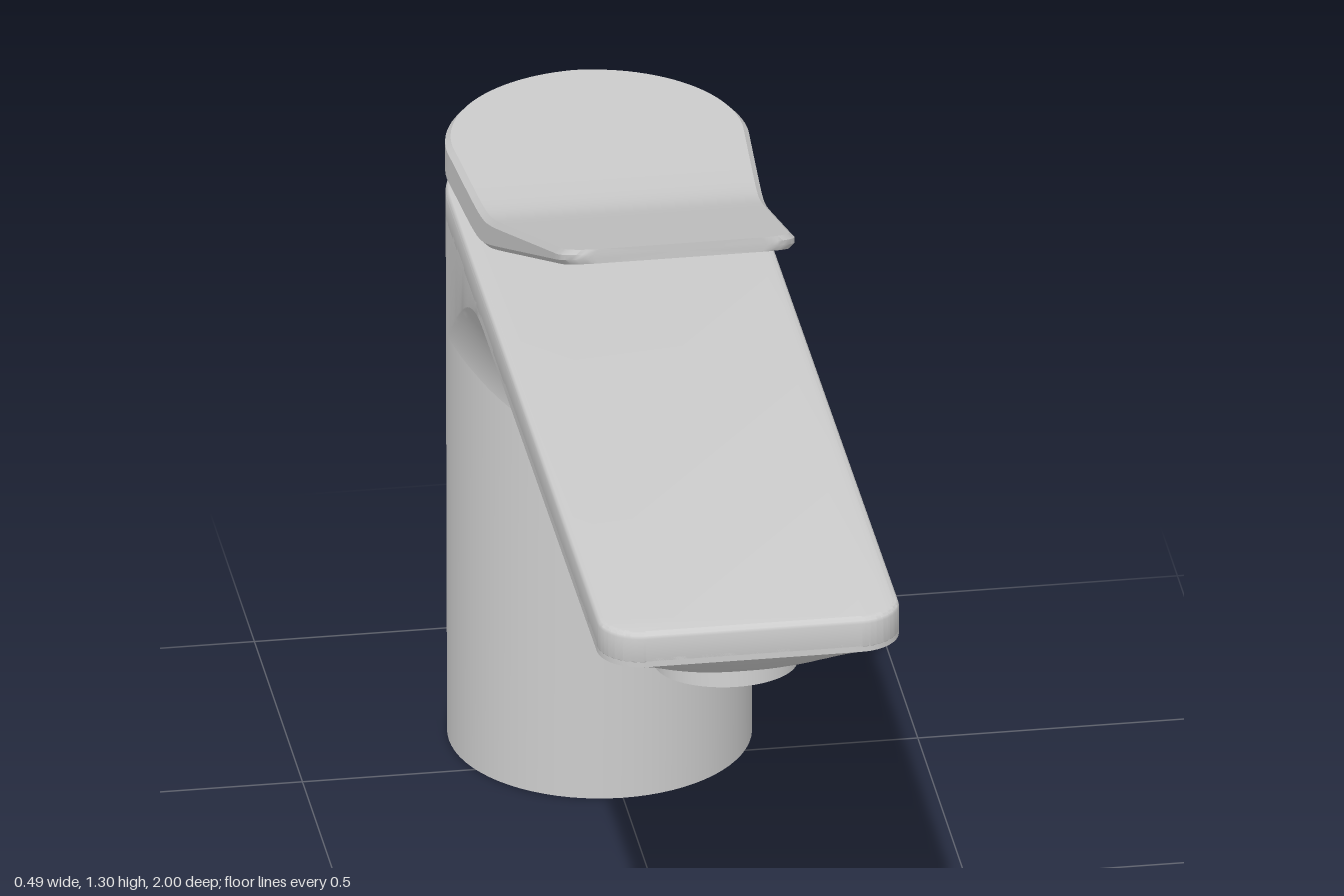
import * as THREE from 'three';
import { toCreasedNormals } from 'three/addons/utils/BufferGeometryUtils.js';

const R = 0.245;        // body radius and half width of the spout
const AXIS = -0.622;    // z of the body axis near its top
const FILLET = 0.19;    // blend radius between body and spout
const CORNER = 0.07;    // front corner radius of the spout

const deckTop = (z) => 1 - 0.016 * (1 - z);
const deckBottom = (z) => deckTop(z) - 0.06;
const softRamp = (x, k) => k * Math.log(1 + Math.exp(x / k));

// Skin a list of equally long point rows
function loft(rows, closed, crease = 0.6) {
  const n = rows[0].length, index = [];
  for (let j = 0; j < rows.length - 1; j++) {
    for (let i = 0; i < (closed ? n : n - 1); i++) {
      const k = (i + 1) % n;
      const a = j * n + i, b = j * n + k, c = a + n, d = b + n;
      index.push(a, b, c, b, d, c);
    }
  }
  const g = new THREE.BufferGeometry();
  g.setAttribute('position', new THREE.Float32BufferAttribute(rows.flat(2), 3));
  g.setIndex(index);
  return toCreasedNormals(g, crease);
}

// Move every vertex by a rule
function warp(g, rule) {
  const p = g.attributes.position, v = new THREE.Vector3();
  for (let i = 0; i < p.count; i++) {
    v.fromBufferAttribute(p, i);
    rule(v);
    p.setXYZ(i, v.x, v.y, v.z);
  }
  return toCreasedNormals(g, 0.6);
}

// Flat deck: round at the back, rounded corners at the front
function deckGeometry() {
  const s = new THREE.Shape();
  s.absarc(0, 0.625, R, 0, Math.PI, false);
  s.lineTo(-R, CORNER - 1);
  s.absarc(CORNER - R, CORNER - 1, CORNER, Math.PI, 1.5 * Math.PI, false);
  s.absarc(R - CORNER, CORNER - 1, CORNER, 1.5 * Math.PI, 2 * Math.PI, false);
  const g = new THREE.ExtrudeGeometry(s, {
    depth: 0.04, bevelThickness: 0.01, bevelSize: 0.01, bevelOffset: -0.01, bevelSegments: 3, curveSegments: 32,
  });
  g.rotateX(-Math.PI / 2);
  return warp(g, (v) => { v.y += 0.01 + deckBottom(v.z); });
}

// Rounded underside of the spout, flowing into the body
function bellyGeometry() {
  const cols = 36, blendRows = 18, spanRows = 26, rows = [];
  const frontZ = (x) => {
    const e = Math.max(0, Math.abs(x) - (R - CORNER));
    return 1 - CORNER + Math.sqrt(Math.max(0, CORNER ** 2 - e * e));
  };
  const underside = (x, z) => {
    const v = Math.min(1, Math.max(0, (frontZ(x) - z) / 0.27));
    const depth = 0.115 * (1 - (1 - v) ** 2) * (1 - Math.abs(x / R) ** 2.6);
    const d = Math.max(0, Math.hypot(x, z - AXIS) - R);
    const drop = d < FILLET ? FILLET - Math.sqrt(FILLET ** 2 - (FILLET - d) ** 2) : 0;
    return deckBottom(z) - depth - drop;
  };
  for (let j = 0; j <= blendRows + spanRows; j++) {
    const row = [];
    for (let i = 0; i <= cols; i++) {
      const x = R * Math.sin((i / cols - 0.5) * Math.PI);
      const z0 = AXIS + Math.sqrt(Math.max(0, R * R - x * x));
      const z1 = AXIS + Math.sqrt((R + FILLET) ** 2 - x * x);
      const t = (j - blendRows) / spanRows;
      const z = j <= blendRows
        ? z0 + (z1 - z0) * (1 - Math.cos((j / blendRows) * Math.PI / 2))
        : z1 + (frontZ(x) - z1) * (1 - (1 - t) ** 1.6);
      row.push([x, underside(x, z), z]);
    }
    // side skirts reach up into the deck
    const [l, r] = [row[0], row[cols]];
    row.unshift([l[0], deckBottom(l[2]) + 0.015, l[2]]);
    row.push([r[0], deckBottom(r[2]) + 0.015, r[2]]);
    rows.push(row);
  }
  rows.push(rows.at(-1).map(([x, , z]) => [x, deckBottom(z) + 0.015, z]));
  return loft(rows, false);
}

// Lever: round cap bending into a thin tapered paddle
function leverGeometry() {
  const centre = -0.63, tip = 0.23, corner = 0.05, cols = 20, stations = [];
  for (let i = 0; i <= 28; i++) {
    const a = (i / 28) * Math.PI / 2;
    stations.push([centre - R * Math.cos(a), R * Math.sin(a)]);
  }
  const taper = (z) => R - 0.055 * (z - centre) / (tip - centre);
  for (let i = 1; i <= 36; i++) {
    const z = centre + (tip - corner - centre) * i / 36;
    stations.push([z, taper(z)]);
  }
  for (let i = 1; i <= 8; i++) {
    const a = (i / 8) * Math.PI / 2, z = tip - corner + corner * Math.sin(a);
    stations.push([z, taper(z) - corner * (1 - Math.cos(a))]);
  }
  const rows = stations.map(([z, w]) => {
    const top = 1.055 + 0.02 * (z + 0.87) + 0.38 * softRamp(z + 0.36, 0.025);
    const low = 0.988 + 0.02 * (z + 0.87) + 0.428 * softRamp(z + 0.39, 0.025);
    const b = Math.min(0.009, w * 0.4), row = [];
    // small half-round notch at the back of the lower edge
    const notch = (x) => (z < -0.82 ? Math.sqrt(Math.max(0, 0.03 ** 2 - x * x)) : 0);
    const xs = Array.from({ length: cols + 1 }, (_, i) => (w - b) * (2 * i / cols - 1));
    xs.forEach((x) => row.push([x, low + notch(x), z]));
    row.push([w, low + b + notch(w), z], [w, top - b, z]);
    xs.reverse().forEach((x) => row.push([x, top, z]));
    row.push([-w, top - b, z], [-w, low + b + notch(w), z]);
    return row;
  });
  const last = rows.at(-1);
  const midY = (last[0][1] + last[cols + 3][1]) / 2;
  rows.push(last.map(() => [0, midY, tip]));
  return loft(rows, true);
}

export function createModel() {
  const group = new THREE.Group();
  const material = new THREE.MeshStandardMaterial({ color: 0xcccccc });
  const thin = new THREE.MeshStandardMaterial({ color: 0xcccccc, side: THREE.DoubleSide });
  const add = (name, geometry, mat = material) => {
    const m = new THREE.Mesh(geometry, mat);
    m.name = name;
    group.add(m);
    return m;
  };

  // Slightly leaning round body
  const body = new THREE.CylinderGeometry(R, R, 0.95, 72);
  body.translate(0, 0.475, 0);
  add('body', warp(body, (v) => { v.z += -0.61 - 0.0155 * v.y; }));

  add('spoutDeck', deckGeometry());
  add('spoutBelly', bellyGeometry(), thin);

  // Tilted water outlet
  const outlet = add('outlet', new THREE.CylinderGeometry(0.115, 0.115, 0.08, 48));
  outlet.position.set(0, 0.826, 0.7);
  outlet.rotation.x = -0.11;

  // Recessed neck under the lever
  const neck = add('neck', new THREE.CylinderGeometry(0.225, 0.225, 0.05, 64));
  neck.position.set(0, 0.98, -0.625);

  add('lever', leverGeometry(), thin);

  // Bent rod at the back with a flat end
  const path = new THREE.CatmullRomCurve3([
    [0, 0.175, -0.835], [0, 0.2, -0.86], [0, 0.212, -0.89], [0, 0.212, -0.94], [0, 0.212, -1],
  ].map((p) => new THREE.Vector3(...p)));
  add('rearRod', new THREE.TubeGeometry(path, 24, 0.023, 20));
  const end = add('rearRodEnd', new THREE.CircleGeometry(0.023, 20));
  end.position.set(0, 0.212, -1);
  end.rotation.y = Math.PI;

  return group;
}
